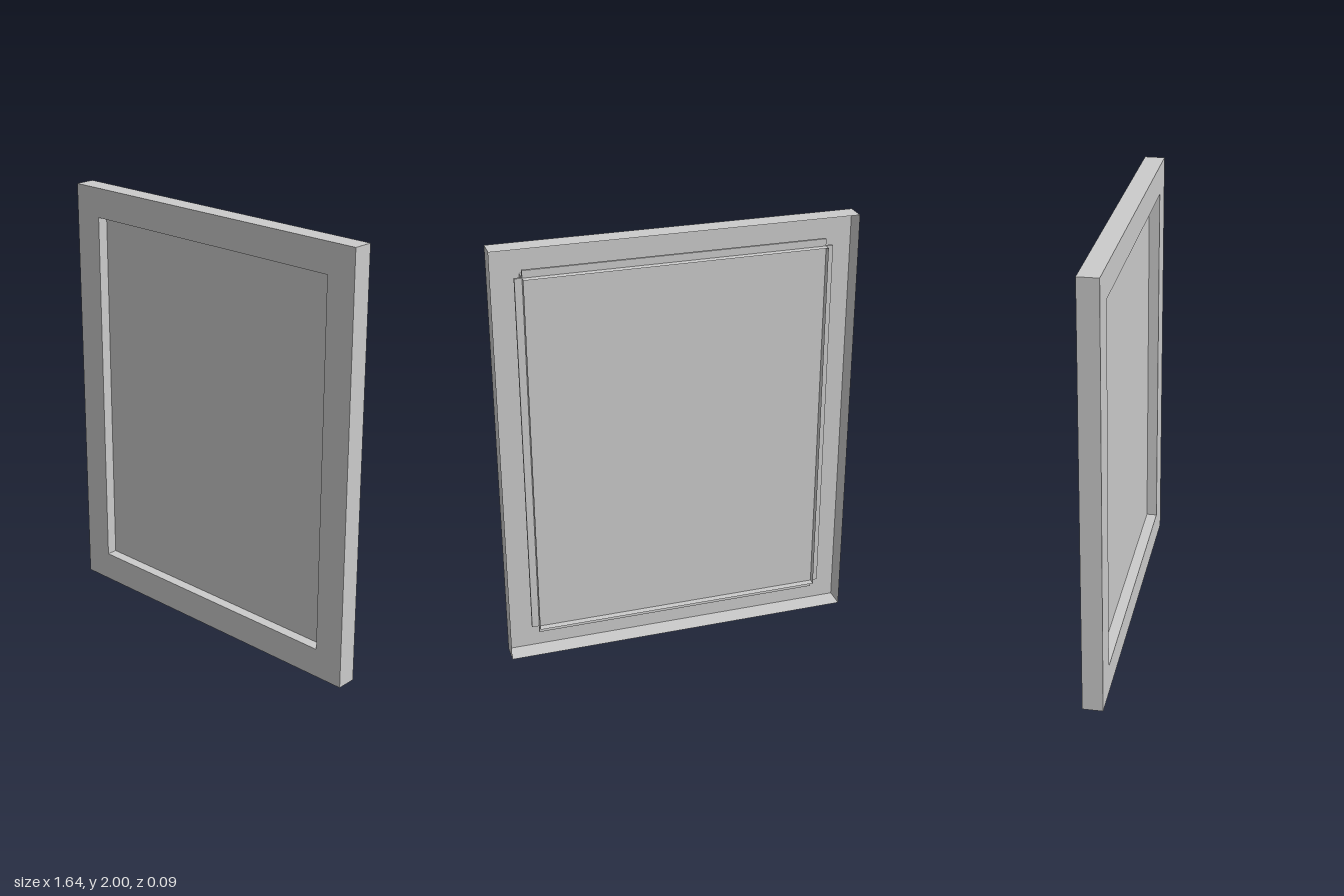
import * as THREE from 'three';

const W = 0.82, H = 1, HALF = 0.0465;    // outer half width, half height, half depth
const OW = 0.68, OH = 0.862;             // opening half width, half height
const TONGUE = 0.033;                    // panel overlap into the frame
const PANEL_T = 0.012;

const rectangle = (w, h) => [[-w, -h], [w, -h], [w, h], [-w, h]].map(([x, y]) => new THREE.Vector2(x, y));

export function createModel() {
  const group = new THREE.Group();
  const material = new THREE.MeshStandardMaterial({ color: 0xcccccc, flatShading: true, side: THREE.DoubleSide });

  const add = (name, geometry, x = 0, y = 0, z = 0) => {
    const mesh = new THREE.Mesh(geometry, material);
    mesh.name = name;
    mesh.position.set(x, y + H, z);
    group.add(mesh);
    return mesh;
  };

  // Four thin walls around a rectangle, running the full depth
  const wallRing = (name, w, h, inward) => {
    const turn = inward ? -1 : 1;
    for (const s of [-1, 1]) {
      add(name, new THREE.PlaneGeometry(2 * HALF, 2 * h), s * w).rotation.y = s * turn * Math.PI / 2;
      add(name, new THREE.PlaneGeometry(2 * w, 2 * HALF), 0, s * h).rotation.x = -s * turn * Math.PI / 2;
    }
  };

  // Front face of the frame, with the opening cut out; the back is open
  const face = new THREE.Shape(rectangle(W, H));
  face.holes.push(new THREE.Path(rectangle(OW, OH)));
  add('frameFace', new THREE.ShapeGeometry(face), 0, 0, HALF);
  wallRing('frameOuterWall', W, H, false);
  wallRing('frameInnerWall', OW, OH, true);

  // Recessed panel whose four edges reach past the inner walls, with notched corners
  const a = OW + TONGUE, b = OH + TONGUE;
  const outline = [
    [-OW, -b], [OW, -b], [OW, -OH], [a, -OH], [a, OH], [OW, OH],
    [OW, b], [-OW, b], [-OW, OH], [-a, OH], [-a, -OH], [-OW, -OH],
  ].map(([x, y]) => new THREE.Vector2(x, y));
  add('panel', new THREE.ExtrudeGeometry(new THREE.Shape(outline), { depth: PANEL_T, bevelEnabled: false }), 0, 0, -0.015);

  return group;
}
